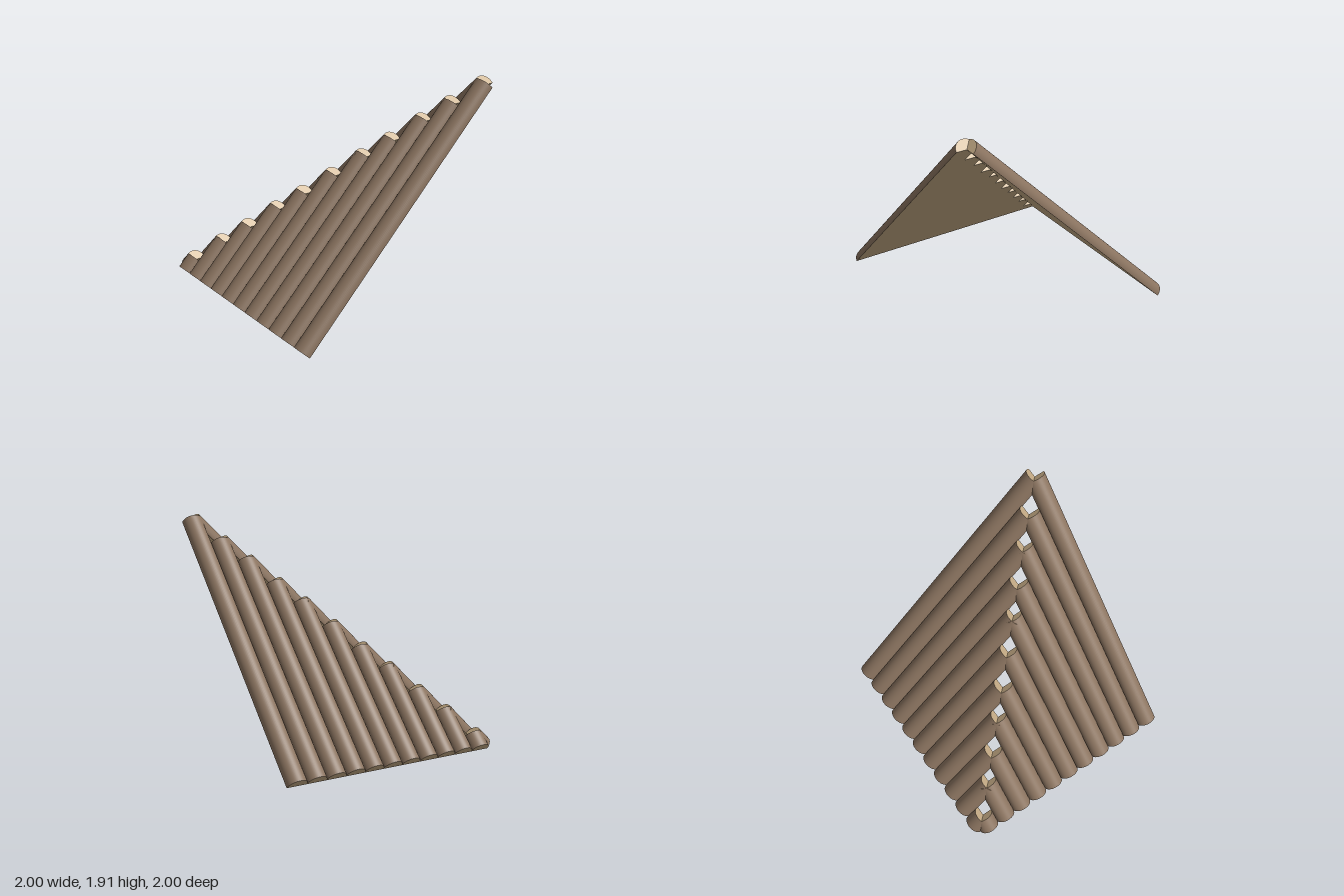
import * as THREE from 'three';

const R = 0.0885;        // half-log radius
const PITCH = 0.1755;    // spacing between logs
const EAVE = -0.937;     // where the flat undersides meet the ground
// upper end of each log along the slope, from the ridge down the hip
const ENDS = [0.912, 0.73, 0.572, 0.385, 0.228, 0.04, -0.145, -0.302, -0.49, -0.65, -0.838];

const bark = new THREE.MeshStandardMaterial({ color: 0x8b7460 });
const cutWood = new THREE.MeshStandardMaterial({ color: 0xc8ae88 });

function part(name, geometry, material) {
  const mesh = new THREE.Mesh(geometry, material);
  mesh.name = name;
  return mesh;
}

// Half log lying along +x from the origin, flat side down
function halfLog(length) {
  const log = new THREE.Group();
  log.name = 'halfLog';
  log.add(
    part('bark', new THREE.CylinderGeometry(R, R, length, 24, 1, true, 0, Math.PI)
      .rotateZ(Math.PI / 2).translate(length / 2, 0, 0), bark),
    part('flatUnderside', new THREE.PlaneGeometry(length, 2 * R)
      .rotateX(Math.PI / 2).translate(length / 2, 0, 0), cutWood),
    part('upperEnd', new THREE.CircleGeometry(R, 24, 0, Math.PI)
      .rotateY(Math.PI / 2).translate(length, 0, 0), cutWood),
    part('lowerEnd', new THREE.CircleGeometry(R, 24, 0, Math.PI)
      .rotateY(-Math.PI / 2), cutWood)
  );
  return log;
}

// One roof slope of logs rising at 45 degrees, shortening towards the hip corner
function slope(name, side) {
  const group = new THREE.Group();
  group.name = name;
  ENDS.forEach((end, k) => {
    const log = halfLog((end - EAVE) * Math.SQRT2);
    log.position.set(EAVE, 0, side * (0.912 - k * PITCH));
    log.rotation.z = Math.PI / 4;
    group.add(log);
  });
  return group;
}

export function createModel() {
  const model = new THREE.Group();
  model.name = 'logRoofCorner';
  const sideSlope = slope('sideSlope', 1);
  const backSlope = slope('backSlope', -1);
  backSlope.rotation.y = -Math.PI / 2;   // turn so it rises towards +z
  model.add(sideSlope, backSlope);
  return model;
}
